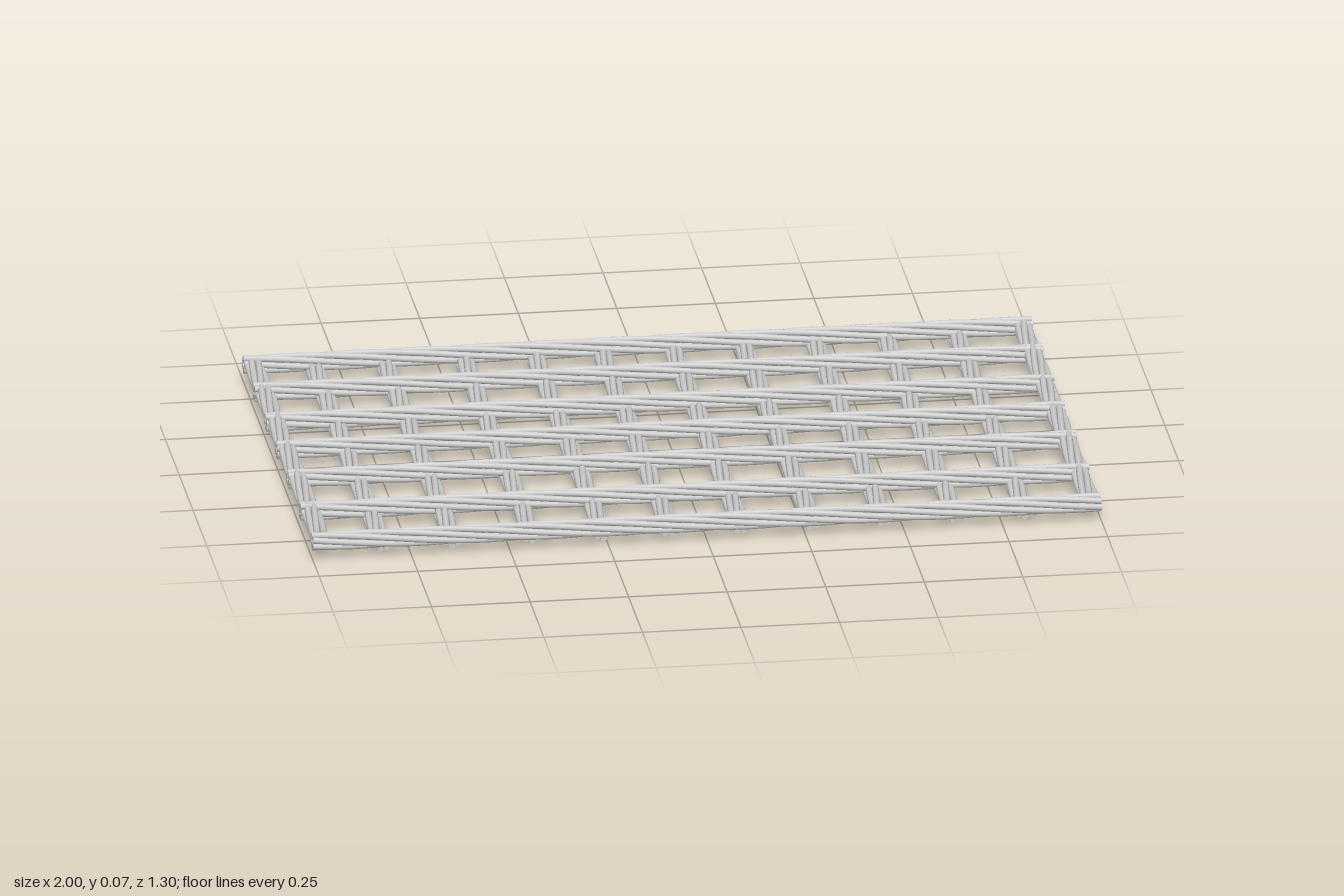
import * as THREE from 'three';
import { mergeGeometries } from 'three/addons/utils/BufferGeometryUtils.js';

const STRANDS = 6;
const STRAND_R = 0.0084; // radius of one strand
const LAY_R = 0.0166;    // distance of the strands from the rope's axis
const PITCH = 1.0;       // length of one full twist

// One strand winding around the x axis
class Helix extends THREE.Curve {
  constructor(length, phase) {
    super();
    this.length = length;
    this.phase = phase;
  }
  getPoint(t, target = new THREE.Vector3()) {
    const x = (t - 0.5) * this.length;
    const a = this.phase + (x / PITCH) * Math.PI * 2;
    return target.set(x, LAY_R * Math.cos(a), LAY_R * Math.sin(a));
  }
}

// Twisted rope along x, hollow at its core, with closed strand ends
function ropeGeometry(length, turn) {
  const parts = [];
  for (let i = 0; i < STRANDS; i++) {
    const curve = new Helix(length, turn + (i / STRANDS) * Math.PI * 2);
    parts.push(new THREE.TubeGeometry(curve, Math.round(length * 20), STRAND_R, 8));
    for (const end of [0, 1]) {
      const p = curve.getPoint(end);
      const cap = new THREE.CircleGeometry(STRAND_R, 8);
      cap.rotateY(end ? Math.PI / 2 : -Math.PI / 2);
      cap.translate(p.x, p.y, p.z);
      parts.push(cap);
    }
  }
  return mergeGeometries(parts);
}

export function createModel() {
  const net = new THREE.Group();
  net.name = 'ropeNet';
  const material = new THREE.MeshStandardMaterial({ color: 0xcccccc });

  // Long ropes on top, running left to right
  [-0.623, -0.43, -0.22, -0.025, 0.18, 0.41, 0.623].forEach((z, i) => {
    const rope = new THREE.Mesh(ropeGeometry(2, i * 0.7), material);
    rope.name = 'longRope' + (i + 1);
    rope.position.set(0, 0.045, z);
    net.add(rope);
  });

  // Cross ropes below them; the two at the ends lie level with the long ropes
  const xs = [-0.975, -0.82, -0.64, -0.44, -0.26, -0.09, 0.09, 0.27, 0.45, 0.63, 0.81, 0.975];
  xs.forEach((x, i) => {
    const isEnd = i === 0 || i === xs.length - 1;
    const rope = new THREE.Mesh(ropeGeometry(1.21, i * 0.9), material);
    rope.name = (isEnd ? 'endRope' : 'crossRope') + (i + 1);
    rope.rotation.y = Math.PI / 2;
    rope.position.set(x, isEnd ? 0.045 : 0.025, 0);
    net.add(rope);
  });

  return net;
}
